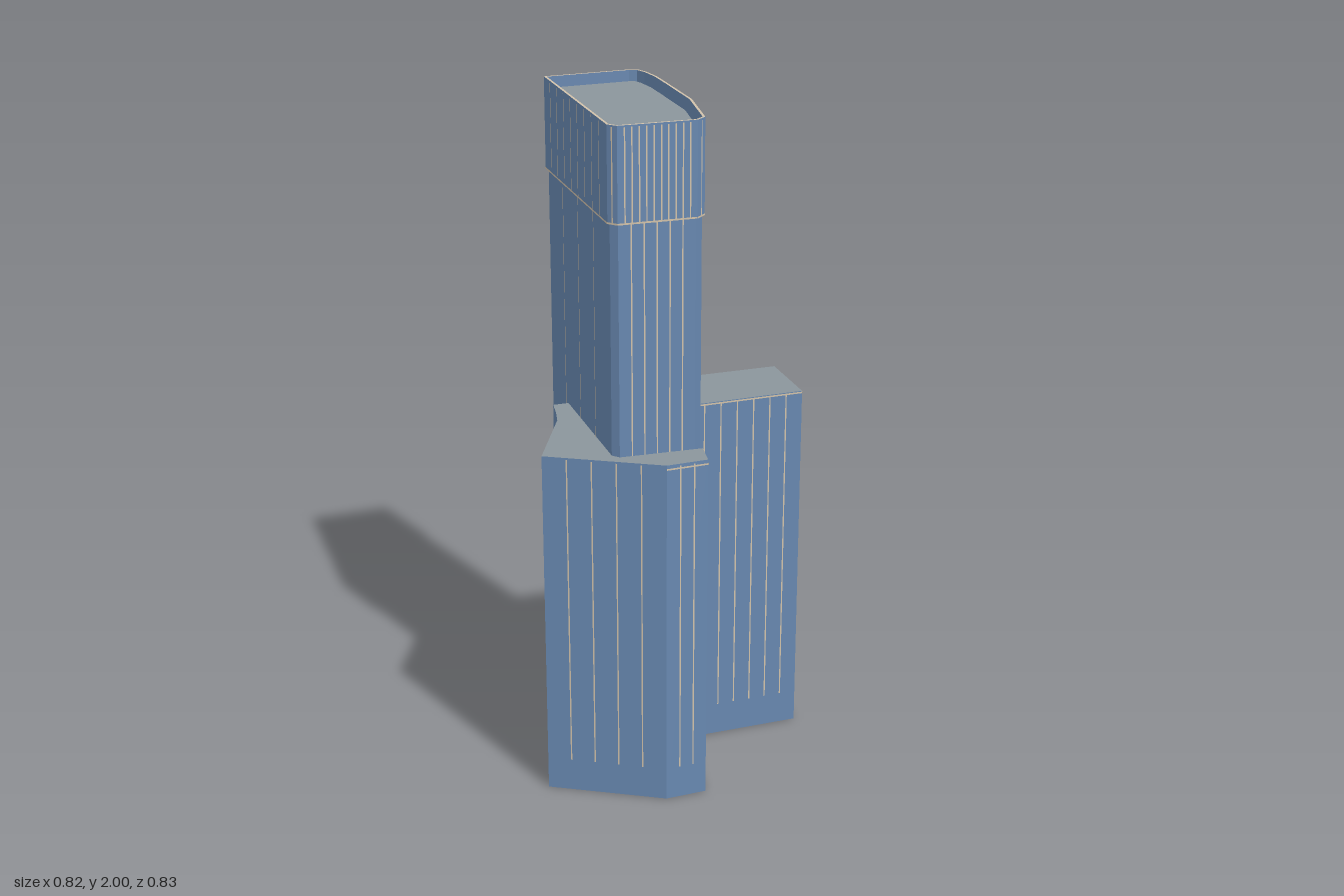
import * as THREE from 'three';
import { mergeGeometries } from 'three/addons/utils/BufferGeometryUtils.js';

const mat = (name, color) => {
  const m = new THREE.MeshStandardMaterial({ color, side: THREE.DoubleSide });
  m.name = name;
  return m;
};

// Plan outlines are [x, z] points, running clockwise as seen from above.
const CROWN = [[-0.28, -0.287], [-0.025, -0.317], [0.003, -0.31], [0.019, -0.275], [0.034, -0.21],
  [0.042, -0.13], [0.061, 0.085], [0.045, 0.29], [0.018, 0.317], [-0.205, 0.332], [-0.228, 0.31]];
const WING = [[0.035, -0.14], [0.39, -0.17], [0.41, 0.05], [0.054, 0.085]];
const ANNEX = [[0.038, 0.315], [0.032, 0.398], [-0.09, 0.413], [-0.412, 0.265],
  [-0.317, 0.01], [-0.309, -0.05], [-0.305, -0.113], [-0.258, -0.118]];
const PODIUM = [[-0.231, -0.286], [-0.245, -0.373], [0.077, -0.415], [0.107, -0.193],
  [0.39, -0.23], [0.39, -0.17]];

// Outward unit normal of a plan edge
function normal(p, q) {
  const dx = q[0] - p[0], dz = q[1] - p[1], l = Math.hypot(dx, dz);
  return [dz / l, -dx / l];
}

// Moves every side of a closed outline inward by d
function inset(pts, d) {
  return pts.map((p, i) => {
    const a = normal(pts.at(i - 1), p), b = normal(p, pts[(i + 1) % pts.length]);
    const k = d / (1 + a[0] * b[0] + a[1] * b[1]);
    return [p[0] - (a[0] + b[0]) * k, p[1] - (a[1] + b[1]) * k];
  });
}

// Vertical walls standing on an outline
function walls(pts, y0, y1, closed = false) {
  const v = [];
  for (let i = 0; i < pts.length - (closed ? 0 : 1); i++) {
    const p = pts[i], q = pts[(i + 1) % pts.length];
    const at = (c, y) => v.push(c[0], y, c[1]);
    at(q, y0); at(p, y0); at(p, y1);
    at(q, y0); at(p, y1); at(q, y1);
  }
  const g = new THREE.BufferGeometry();
  g.setAttribute('position', new THREE.Float32BufferAttribute(v, 3));
  g.computeVertexNormals();
  return g;
}

// Level slab face, optionally with a hole
function level(pts, y, hole) {
  const vec = (list) => list.map(([x, z]) => new THREE.Vector2(x, -z));
  const s = new THREE.Shape(vec(pts));
  if (hole) s.holes.push(new THREE.Path(vec(hole)));
  return new THREE.ShapeGeometry(s).rotateX(-Math.PI / 2).translate(0, y, 0);
}

// Thin plate on the edge p-q, between fractions t0 and t1
function plate(p, q, t0, t1, y0, y1, out = 0.0015) {
  const n = normal(p, q);
  const at = (t) => [p[0] + (q[0] - p[0]) * t + n[0] * out, p[1] + (q[1] - p[1]) * t + n[1] * out];
  return walls([at(t0), at(t1)], y0, y1);
}

// Evenly spaced vertical strips: counts[i] strips on side i
function strips(pts, counts, y0, y1, width = 0.004) {
  const list = [];
  counts.forEach((n, i) => {
    const p = pts[i], q = pts[(i + 1) % pts.length];
    const half = width / 2 / Math.hypot(q[0] - p[0], q[1] - p[1]);
    for (let k = 1; k <= n; k++) {
      const t = k / (n + 1);
      list.push(plate(p, q, t - half, t + half, y0, y1));
    }
  });
  return mergeGeometries(list);
}

// Horizontal line around an outline
function band(pts, y, closed = false) {
  const list = [];
  for (let i = 0; i < pts.length - (closed ? 0 : 1); i++) {
    list.push(plate(pts[i], pts[(i + 1) % pts.length], 0, 1, y - 0.005, y));
  }
  return mergeGeometries(list);
}

export function createModel() {
  const glass = mat('blue glass', 0x6888b0);
  const roof = mat('grey roof', 0x8b959b);
  const trim = mat('tan trim', 0xd2c2aa);
  const dark = mat('dark recess', 0x2b2f35);

  const model = new THREE.Group();
  model.name = 'officeTower';
  const group = (name) => {
    const g = new THREE.Group();
    g.name = name;
    model.add(g);
    return g;
  };
  const add = (parent, name, geometry, material) => {
    const m = new THREE.Mesh(geometry, material);
    m.name = name;
    parent.add(m);
  };

  // Tall shaft
  const shaft = inset(CROWN, 0.007);
  const tower = group('tower');
  add(tower, 'shaftWalls', walls(shaft, 0, 1.73, true), glass);
  add(tower, 'shaftStrips', strips(shaft, [5, 0, 0, 1, 1, 3, 2, 0, 5, 0, 3], 0.1, 1.73), trim);

  // Crown: thin parapet ring with the roof floating inside it
  const crown = group('crown');
  add(crown, 'crownOuterWall', walls(CROWN, 1.73, 2, true), glass);
  add(crown, 'crownInnerWall', walls([...shaft].reverse(), 1.73, 1.999, true), glass);
  add(crown, 'crownRim', level(CROWN, 2, shaft), trim);
  add(crown, 'crownLedge', level(CROWN, 1.73, shaft), trim);
  add(crown, 'crownBottomLine', band(CROWN, 1.735, true), trim);
  add(crown, 'crownStrips', strips(CROWN, [10, 0, 1, 1, 2, 4, 4, 1, 10, 1, 8], 1.735, 1.995), trim);
  add(crown, 'towerRoof', level(inset(CROWN, 0.019), 1.97), roof);

  // Side wing
  const wing = group('sideWing');
  add(wing, 'wingWalls', walls(WING, 0, 1.1), glass);
  add(wing, 'wingRoof', level(WING, 1.1), roof);
  add(wing, 'wingStrips', strips(WING, [6, 4, 6], 0.1, 1.095), trim);
  add(wing, 'wingTopLine', band(WING, 1.098), trim);

  // Angled annex on the other side, its roof wrapping the shaft
  const annex = group('angledAnnex');
  add(annex, 'annexWalls', walls(ANNEX, 0, 1.06), glass);
  add(annex, 'annexRoof', level([...ANNEX, shaft[10], shaft[9]], 1.06), roof);
  add(annex, 'annexStrips', strips(ANNEX, [1, 2, 4, 3], 0.1, 1.055), trim);
  add(annex, 'annexTopLine', band(ANNEX.slice(0, 3), 1.05), trim);
  add(annex, 'annexRecess', plate(ANNEX[4], ANNEX[5], 0.02, 1, 0.09, 1.03, 0.002), dark);

  // Low podium at the back
  const podium = group('podium');
  add(podium, 'podiumWalls', walls(PODIUM, 0, 0.09), glass);
  add(podium, 'podiumRoof', level([...PODIUM, WING[0], shaft[4], shaft[3], shaft[2], shaft[1], shaft[0]], 0.09), roof);
  add(podium, 'podiumTopLine', band(PODIUM, 0.09), trim);

  return model;
}
